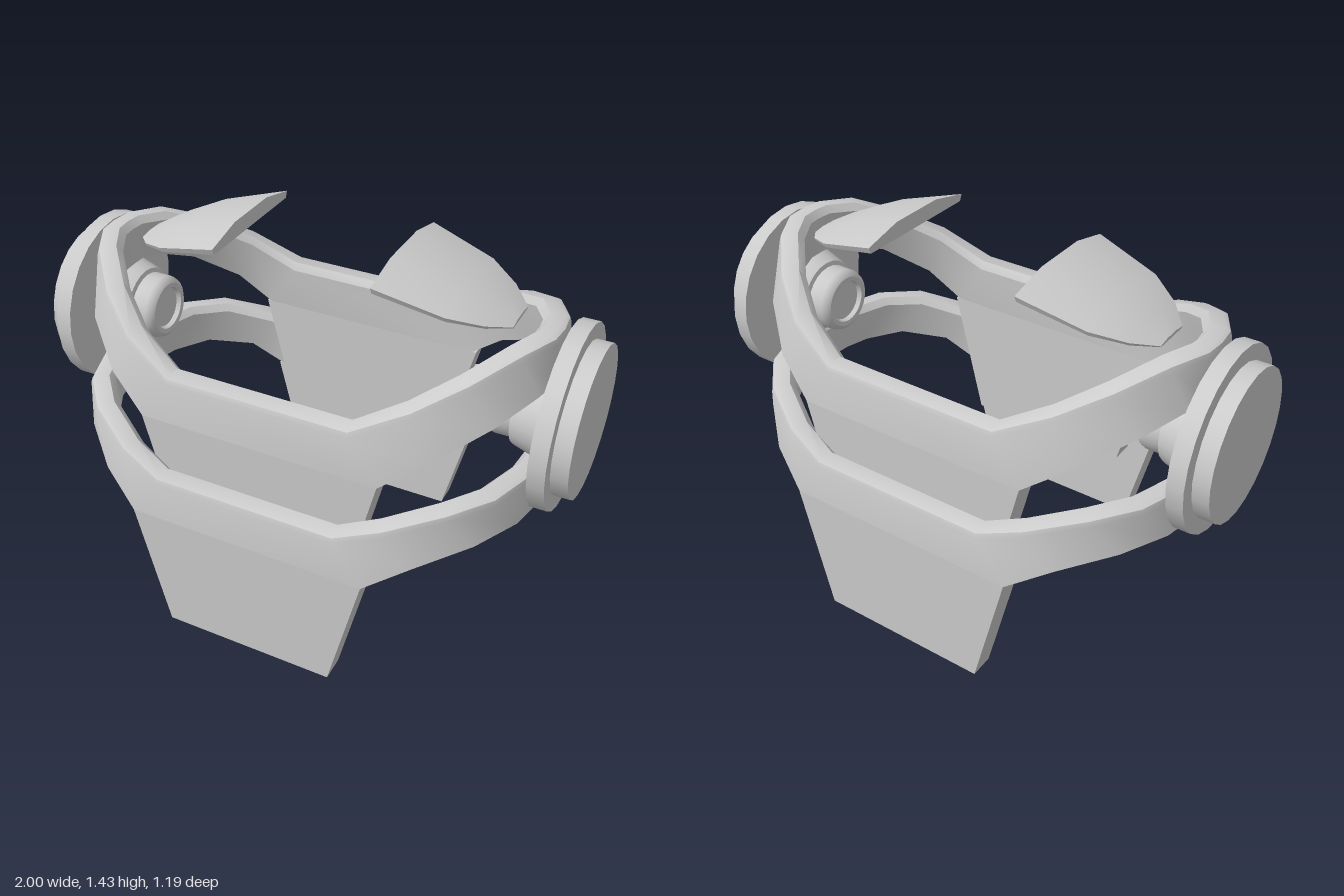
import * as THREE from 'three';
import { toCreasedNormals } from 'three/addons/utils/BufferGeometryUtils.js';

const material = new THREE.MeshStandardMaterial({ color: 0xcccccc });
const THICK = 0.09;

function addMesh(parent, name, geometry) {
  const mesh = new THREE.Mesh(geometry, material);
  mesh.name = name;
  parent.add(mesh);
  return mesh;
}

// Skins a row of equal-length cross-sections; either closes the row or caps its ends
function skin(rings, closed) {
  const n = rings[0].length, pos = [];
  const tri = (a, b, c) => pos.push(...a, ...b, ...c);
  const last = closed ? rings.length : rings.length - 1;
  for (let i = 0; i < last; i++) {
    const A = rings[i], B = rings[(i + 1) % rings.length];
    for (let j = 0; j < n; j++) {
      const k = (j + 1) % n;
      tri(A[j], A[k], B[k]);
      tri(A[j], B[k], B[j]);
    }
  }
  if (!closed) {
    const S = rings[0], E = rings[rings.length - 1];
    for (let j = 1; j < n - 1; j++) {
      tri(S[0], S[j + 1], S[j]);
      tri(E[0], E[j], E[j + 1]);
    }
  }
  const g = new THREE.BufferGeometry();
  g.setAttribute('position', new THREE.Float32BufferAttribute(pos, 3));
  return toCreasedNormals(g, 0.7);
}

// Mirrors a quarter path (front centre to side) into a full loop
function fullLoop(quarter) {
  const half = [...quarter, ...quarter.slice(0, -1).reverse().map(([x, y, z]) => [x, y, -z])];
  return [...half, ...half.map(([x, y, z]) => [-x, y, -z])];
}

// Offsets a loop inward in plan, mitred at the corners
function inset(loop, d, drop = 0) {
  const n = loop.length;
  const normal = (a, b) => new THREE.Vector2(a[2] - b[2], b[0] - a[0]).normalize();
  return loop.map((p, i) => {
    const n1 = normal(loop[(i + n - 1) % n], p), n2 = normal(p, loop[(i + 1) % n]);
    const m = n1.clone().add(n2).normalize();
    const s = d / m.dot(n1);
    return [p[0] - m.x * s, p[1] - drop, p[2] - m.y * s];
  });
}

// One band around the body, with a tapering plate hanging front and back
function bandWithPlates(name, topQuarter, bottomQuarter, depth) {
  const group = new THREE.Group();
  group.name = name;
  const top = fullLoop(topQuarter), bottom = fullLoop(bottomQuarter);
  const edges = [
    inset(top, 0.022), inset(top, 0.006, 0.008), inset(top, 0, 0.026),
    bottom, inset(bottom, THICK),
    inset(top, THICK, 0.026), inset(top, THICK - 0.022),
  ];
  addMesh(group, 'band', skin(top.map((_, i) => edges.map((e) => e[i])), true));

  const [hx, hy] = bottomQuarter[0];
  const outline = new THREE.Shape([
    new THREE.Vector2(-0.33, hy - 0.49), new THREE.Vector2(0.33, hy - 0.49),
    new THREE.Vector2(hx, hy), new THREE.Vector2(-hx, hy),
  ]);
  const plate = new THREE.ExtrudeGeometry(outline, { depth: THICK, bevelEnabled: false });
  addMesh(group, 'frontPlate', plate).position.z = depth - THICK;
  addMesh(group, 'backPlate', plate).position.z = -depth;
  return group;
}

// Side disc assembly, built along +x
function sideDisc(name) {
  const group = new THREE.Group();
  group.name = name;
  const disc = (r, x0, x1) =>
    new THREE.CylinderGeometry(r, r, x1 - x0, 24).rotateZ(-Math.PI / 2).translate((x0 + x1) / 2, 0, 0);
  addMesh(group, 'discRim', disc(0.328, 0.88, 0.94));
  addMesh(group, 'discFace', disc(0.27, 0.94, 1));
  // Inner hub with a rounded nose and shallow recess
  const profile = [
    [0, 0.68], [0.078, 0.68], [0.083, 0.662], [0.1, 0.66], [0.115, 0.67], [0.122, 0.69],
    [0.122, 0.75], [0.138, 0.755], [0.145, 0.77], [0.17, 0.86], [0.17, 0.885],
  ].map(([r, h]) => new THREE.Vector2(r, h));
  const hub = new THREE.LatheGeometry(profile, 24).rotateZ(-Math.PI / 2);
  addMesh(group, 'hub', toCreasedNormals(hub, 0.7));
  return group;
}

// Sloping flap: flat underside, faceted crown, narrowing outward
function flapGeometry(side) {
  const stations = [ // x, half width, underside y, crown y
    [0.29, 0.265, 1.375, 1.435], [0.53, 0.225, 1.315, 1.36],
    [0.64, 0.155, 1.284, 1.312], [0.71, 0.075, 1.263, 1.275],
  ];
  return skin(stations.map(([x, w, yb, yt]) => {
    const lip = yb + (yt - yb) * 0.4;
    const ring = [
      [x, lip, -w], [x, yt, -w * 0.42], [x, yt, w * 0.42], [x, lip, w], [x, yb, w * 0.96], [x, yb, -w * 0.96],
    ].map((p) => [p[0] * side, p[1], p[2]]);
    return side > 0 ? ring : ring.reverse();
  }), false);
}

export function createModel() {
  const model = new THREE.Group();
  model.name = 'harness';

  model.add(bandWithPlates('lowerBand',
    [[0.34, 0.672, 0.597], [0.5, 0.73, 0.56], [0.68, 0.785, 0.455], [0.8, 0.8, 0.32], [0.87, 0.8, 0.12], [0.88, 0.8, 0]],
    [[0.45, 0.49, 0.597], [0.6, 0.585, 0.53], [0.76, 0.633, 0.385], [0.85, 0.64, 0.22], [0.877, 0.643, 0.1], [0.88, 0.645, 0]],
    0.597));

  const upper = bandWithPlates('upperBand',
    [[0.34, 1.03, 0.5], [0.53, 1.128, 0.445], [0.68, 1.21, 0.335], [0.8, 1.278, 0.2], [0.865, 1.29, 0.08], [0.873, 1.29, 0]],
    [[0.45, 0.84, 0.5], [0.6, 0.95, 0.445], [0.76, 1.055, 0.31], [0.85, 1.11, 0.16], [0.877, 1.12, 0.07], [0.88, 1.12, 0]],
    0.5);
  upper.position.z = -0.01;
  model.add(upper);

  for (const side of [1, -1]) {
    const label = side > 0 ? 'left' : 'right';
    const disc = sideDisc(label + 'SideDisc');
    disc.position.set(0, 0.95, -0.025);
    if (side < 0) disc.rotation.y = Math.PI;
    model.add(disc);
    addMesh(model, label + 'Flap', flapGeometry(side)).position.z = -0.04;
  }
  return model;
}
